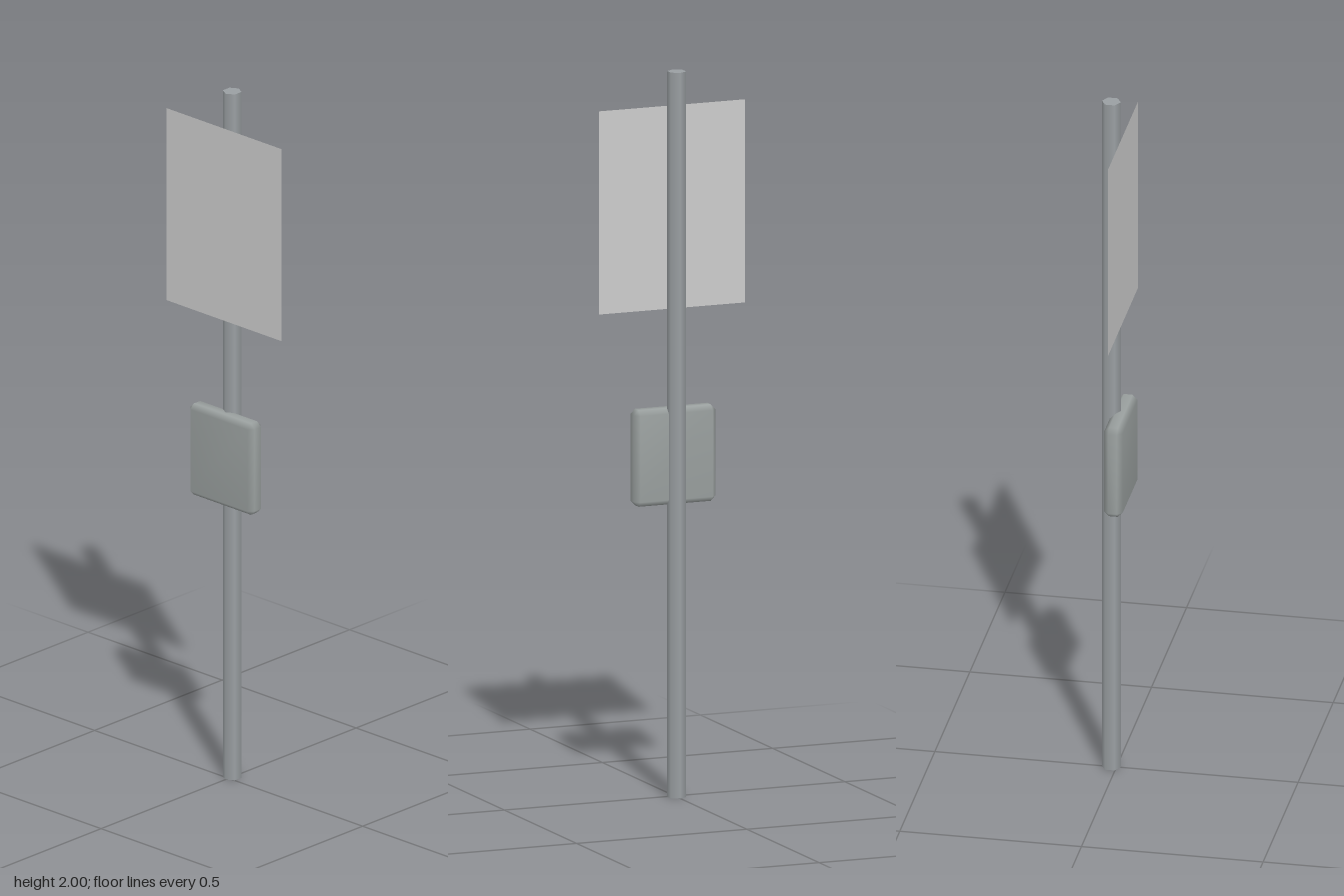
import * as THREE from 'three';
import { mergeVertices } from 'three/addons/utils/BufferGeometryUtils.js';
import { ConvexGeometry } from 'three/addons/geometries/ConvexGeometry.js';

// Box with single-facet chamfers and smoothed normals
function chamferedBox(w, h, d, c) {
  const points = [];
  const x = w / 2, y = h / 2, z = d / 2;
  for (const sx of [-1, 1]) for (const sy of [-1, 1]) for (const sz of [-1, 1]) {
    points.push(
      new THREE.Vector3(sx * x, sy * (y - c), sz * (z - c)),
      new THREE.Vector3(sx * (x - c), sy * y, sz * (z - c)),
      new THREE.Vector3(sx * (x - c), sy * (y - c), sz * z),
    );
  }
  const hull = new ConvexGeometry(points);
  hull.deleteAttribute('normal');
  const geometry = mergeVertices(hull, 1e-5);
  geometry.computeVertexNormals();
  return geometry;
}

export function createModel() {
  const group = new THREE.Group();
  const poleMetal = new THREE.MeshStandardMaterial({ name: 'poleMetal', color: 0x9a9fa2 });
  const boxMetal = new THREE.MeshStandardMaterial({ name: 'boxMetal', color: 0x9aa09f });
  const signGrey = new THREE.MeshStandardMaterial({ name: 'signGrey', color: 0xcccccc, side: THREE.DoubleSide });

  const add = (name, geometry, material, x, y, z) => {
    const mesh = new THREE.Mesh(geometry, material);
    mesh.name = name;
    mesh.position.set(x, y, z);
    group.add(mesh);
  };

  // Six-sided pole with corners facing front and back
  add('pole', new THREE.CylinderGeometry(0.026, 0.026, 2, 6), poleMetal, 0, 1, -0.014);
  // Control box fixed to the front of the pole
  add('controlBox', chamferedBox(0.24, 0.266, 0.052, 0.014), boxMetal, 0, 0.938, 0.012);
  // Thin sign panel
  add('signPanel', new THREE.PlaneGeometry(0.43, 0.56), signGrey, 0, 1.62, 0.018);

  return group;
}
